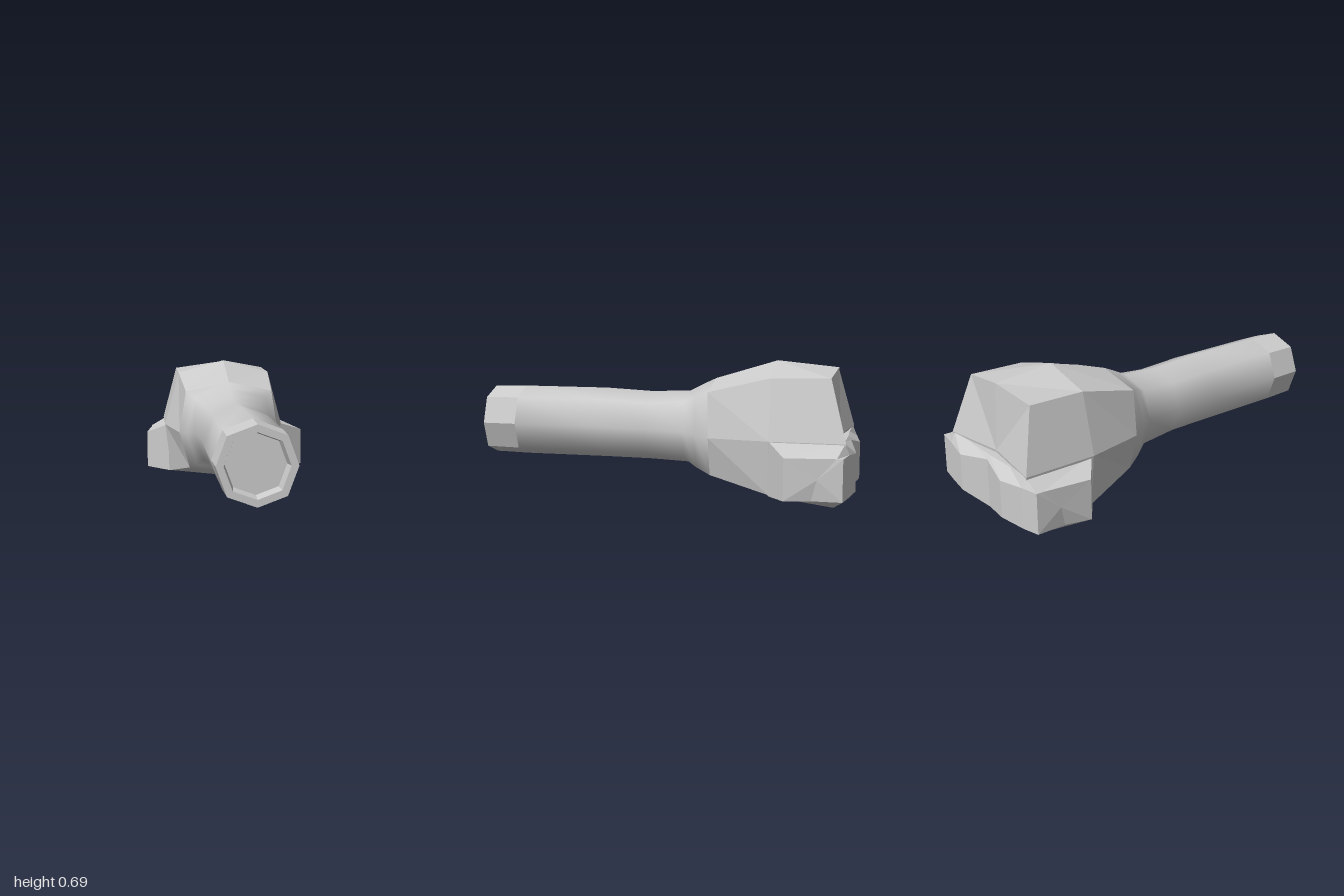
import * as THREE from 'three';

const CX = -0.017; // centre line of the shaft and head

// Skin a list of equal-length closed rings; optionally close either end with a fan.
function loft(name, rings, { flat = false, capStart = false, capEnd = false } = {}) {
  const n = rings[0].length;
  const pos = rings.flat(2);
  const index = [];
  for (let i = 0; i < rings.length - 1; i++) {
    for (let j = 0; j < n; j++) {
      const a = i * n + j, b = i * n + (j + 1) % n, c = b + n, d = a + n;
      index.push(a, d, b, b, d, c);
    }
  }
  const cap = (i, flip) => {
    const centre = pos.length / 3;
    for (let k = 0; k < 3; k++) pos.push(rings[i].reduce((s, p) => s + p[k], 0) / n);
    for (let j = 0; j < n; j++) {
      const a = i * n + j, b = i * n + (j + 1) % n;
      index.push(centre, flip ? b : a, flip ? a : b);
    }
  };
  if (capStart) cap(0, false);
  if (capEnd) cap(rings.length - 1, true);
  let geo = new THREE.BufferGeometry();
  geo.setAttribute('position', new THREE.Float32BufferAttribute(pos, 3));
  geo.setIndex(index);
  if (flat) geo = geo.toNonIndexed();
  geo.computeVertexNormals();
  const mesh = new THREE.Mesh(geo, new THREE.MeshStandardMaterial({ color: 0xcccccc, flatShading: flat }));
  mesh.name = name;
  return mesh;
}

// Mirrored eight-point section: top, upper corner, side, lower corner, bottom.
// Corners are [half width, y, z]; top and bottom are [y, z].
function section(top, upper, side, lower, bottom) {
  const left = ([w, y, z]) => [CX - w, y, z];
  const right = ([w, y, z]) => [CX + w, y, z];
  return [[CX, ...top], left(upper), left(side), left(lower),
    [CX, ...bottom], right(lower), right(side), right(upper)];
}

// Regular octagonal section of the shaft
function octagon(z, r, cy = 0.34) {
  const k = r * 0.73;
  return section([cy + r, z], [k, cy + k, z], [r, cy, z], [k, cy - k, z], [cy - r, z]);
}

export function createModel() {
  const group = new THREE.Group();
  group.name = 'bone';

  // Flat-sided open end with a shallow recess
  group.add(loft('hollowEnd',
    [octagon(0.94, 0.14), octagon(1, 0.15), octagon(1, 0.185), octagon(0.82, 0.189)],
    { flat: true, capStart: true }));

  // Section where the flared neck meets the head
  const neck = section([0.595, -0.25], [0.24, 0.545, -0.25], [0.277, 0.315, -0.26],
    [0.22, 0.115, -0.26], [0.065, -0.26]);

  // Rounded shaft, narrowing slightly before it flares
  group.add(loft('shaft', [
    octagon(0.82, 0.189), octagon(0.35, 0.189), octagon(0.1, 0.184, 0.333),
    section([0.525, -0.11], [0.15, 0.48, -0.11], [0.203, 0.33, -0.11], [0.15, 0.185, -0.11], [0.14, -0.11]),
    section([0.562, -0.18], [0.195, 0.515, -0.18], [0.24, 0.322, -0.18], [0.185, 0.147, -0.18], [0.1, -0.18]),
    neck,
  ]));

  // Faceted head with a sloping rear face
  group.add(loft('head', [
    neck,
    section([0.695, -0.575], [0.263, 0.625, -0.575], [0.344, 0.32, -0.575], [0.311, 0.045, -0.575], [0.01, -0.575]),
    section([0.665, -0.89], [0.263, 0.63, -0.872], [0.34, 0.32, -0.955], [0.311, 0.003, -0.9], [0.015, -0.9]),
  ], { flat: true, capEnd: true }));

  // Two knuckles joined by a saddle; each station is a z-y outline at one x
  const station = (x, pts, backX = x) => pts.map(([z, y], i) => [i === 0 || i === 5 ? x : backX, y, z]);
  const outer = [[-0.67, 0.055], [-0.8, 0.055], [-0.95, 0.055], [-0.95, 0.265], [-0.92, 0.265], [-0.67, 0.265]];
  const root = [[-0.575, 0.045], [-0.9, 0.003], [-0.972, 0.055], [-0.972, 0.267], [-0.95, 0.318], [-0.575, 0.32]];
  const bulge = [[-0.6, 0.05], [-0.9, 0.004], [-0.997, 0.06], [-0.997, 0.255], [-0.94, 0.31], [-0.6, 0.31]];
  const saddle = [[-0.6, 0.05], [-0.9, 0.015], [-0.96, 0.035], [-0.96, 0.29], [-0.945, 0.31], [-0.6, 0.31]];
  group.add(loft('knuckles', [
    station(0.465, outer, 0.43), station(0.315, root), station(0.18, bulge),
    station(CX, saddle),
    station(-0.19, bulge), station(-0.34, root), station(-0.465, outer, -0.43),
  ], { flat: true, capStart: true, capEnd: true }));

  return group;
}
